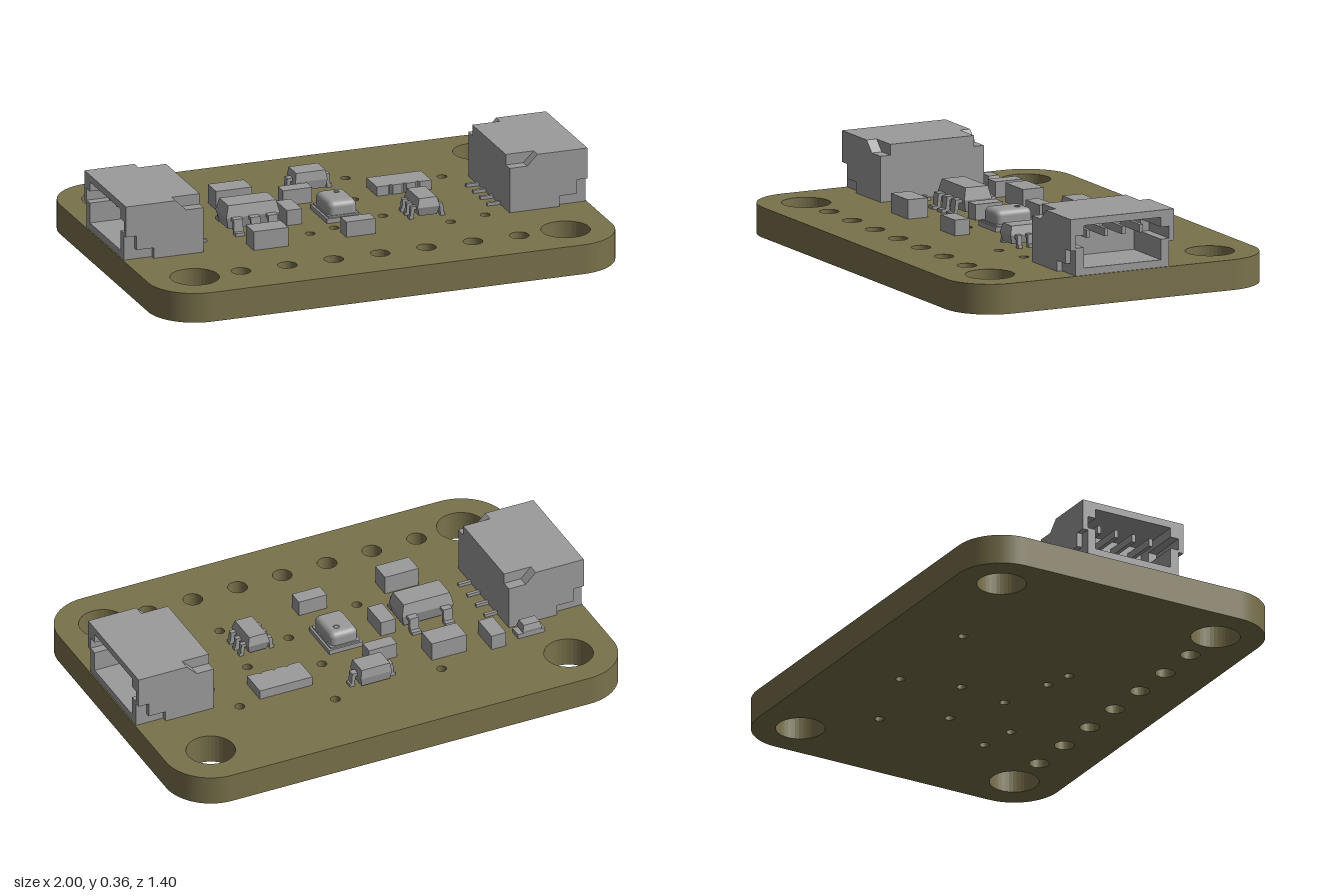
import * as THREE from 'three';
import { RoundedBoxGeometry } from 'three/addons/geometries/RoundedBoxGeometry.js';

const TOP = 0.125; // upper face of the board

export function createModel() {
  const model = new THREE.Group();
  model.name = 'sensorBoard';
  const olive = new THREE.MeshStandardMaterial({ color: 0x7a724c });
  olive.name = 'olive board';
  const grey = new THREE.MeshStandardMaterial({ color: 0x9b9b9b });
  grey.name = 'component grey';

  const add = (parent, name, geo, mat = grey) => {
    const m = new THREE.Mesh(geo, mat);
    m.name = name;
    parent.add(m);
    return m;
  };
  const group = (name) => {
    const g = new THREE.Group();
    g.name = name;
    model.add(g);
    return g;
  };
  const box = (parent, name, x0, x1, y0, y1, z0, z1) => add(parent, name,
    new THREE.BoxGeometry(x1 - x0, y1 - y0, z1 - z0)
      .translate((x0 + x1) / 2, (y0 + y1) / 2, (z0 + z1) / 2));
  const polygon = (pts) => new THREE.Shape(pts.map(([x, y]) => new THREE.Vector2(x, y)));
  // side profile in x and y, extruded from z0 to z1
  const slab = (parent, name, pts, z0, z1) => add(parent, name,
    new THREE.ExtrudeGeometry(polygon(pts), { depth: z1 - z0, bevelEnabled: false }).translate(0, 0, z0));

  // Board with rounded corners and drilled holes
  const s = new THREE.Shape();
  const r = 0.2, w = 1, d = 0.7;
  s.moveTo(w, d - r);
  s.absarc(w - r, d - r, r, 0, Math.PI / 2);
  s.absarc(-w + r, d - r, r, Math.PI / 2, Math.PI);
  s.absarc(-w + r, -d + r, r, Math.PI, Math.PI * 1.5);
  s.absarc(w - r, -d + r, r, Math.PI * 1.5, Math.PI * 2);
  const drill = (x, z, rad) => {
    const h = new THREE.Path();
    h.absarc(x, z, rad, 0, Math.PI * 2, true);
    s.holes.push(h);
  };
  for (const x of [-0.8, 0.8]) for (const z of [-0.5, 0.5]) drill(x, z, 0.1);
  for (let i = -3; i <= 3; i++) drill(i * 0.2, 0.5, 0.04);
  [[-0.29, -0.38], [0.19, -0.39], [0.56, -0.27], [0.13, -0.14], [0.41, -0.03], [0.17, 0.085],
    [-0.065, 0.15], [-0.18, 0.18], [0.56, 0.22], [0.4, 0.25]].forEach(([x, z]) => drill(x, z, 0.02));
  add(model, 'board', new THREE.ExtrudeGeometry(s, { depth: TOP, bevelEnabled: false, curveSegments: 20 })
    .rotateX(Math.PI / 2).translate(0, TOP, 0), olive);

  // Side-entry sockets, open toward the board's ends
  for (const side of [1, -1]) {
    const c = group(side > 0 ? 'leftSocket' : 'rightSocket');
    if (side < 0) c.rotation.y = Math.PI;
    box(c, 'socketTop', 0.66, 0.995, 0.33, 0.36, -0.175, 0.175);
    box(c, 'socketFloor', 0.66, 0.995, TOP, 0.155, -0.175, 0.175);
    box(c, 'socketBack', 0.66, 0.76, 0.155, 0.33, -0.175, 0.175);
    const groove = [[0.995, TOP], [0.995, 0.24], [0.82, 0.24], [0.82, 0.29], [0.995, 0.29], [0.995, 0.36]];
    const notch = [[0.78, 0.36], [0.735, 0.315], [0.66, 0.315]];
    const layers = [
      [0.175, 0.19, [[0.66, TOP], ...groove, [0.66, 0.36]]],
      [0.19, 0.212, [[0.66, TOP], ...groove, ...notch]],
      [0.212, 0.235, [[0.66, TOP], [0.875, TOP], [0.875, 0.17], [0.95, 0.17], [0.95, 0.23],
        [0.995, 0.23], [0.995, 0.36], ...notch]],
    ];
    for (const [z0, z1, pts] of layers) {
      slab(c, 'socketWall', pts, z0, z1);
      slab(c, 'socketWall', pts, -z1, -z0);
    }
    for (const z of [-0.12, -0.04, 0.04, 0.12]) {
      box(c, 'contactPin', 0.75, 0.93, 0.262, 0.295, z - 0.008, z + 0.008);
      box(c, 'solderTail', 0.605, 0.67, TOP, 0.138, z - 0.007, z + 0.007);
    }
  }

  // Plain chip parts: x0, x1, z0, z1, top
  [['capacitor', -0.595, -0.53, -0.345, -0.22, 0.19],
    ['capacitor', -0.435, -0.28, -0.31, -0.215, 0.205],
    ['resistor', -0.165, -0.04, -0.225, -0.165, 0.19],
    ['resistor', -0.235, -0.17, -0.065, 0.06, 0.19],
    ['capacitor', -0.465, -0.315, 0.2, 0.29, 0.205],
    ['resistor', -0.06, 0.065, 0.21, 0.275, 0.19],
  ].forEach(([n, x0, x1, z0, z1, y]) => box(model, n, x0, x1, TOP, y, z0, z1));

  // Resistor array with notched long edges
  const ax0 = 0.23, ax1 = 0.465, az0 = -0.26, az1 = -0.14, pitch = (ax1 - ax0) / 4;
  const edge = [[ax0, az0], [ax1, az0], [ax1, az1]];
  for (let i = 3; i >= 1; i--) {
    const x = ax0 + i * pitch;
    edge.push([x + 0.01, az1], [x, az1 - 0.01], [x - 0.01, az1]);
  }
  edge.push([ax0, az1]);
  add(model, 'resistorArray', new THREE.ExtrudeGeometry(polygon(edge), { depth: 0.04, bevelEnabled: false })
    .rotateX(Math.PI / 2).translate(0, TOP + 0.04, 0));

  // Moulded body whose top and bottom taper inward
  const moulded = (parent, x0, x1, z0, z1, y0, y1, inset) => {
    const bw = x1 - x0, bd = z1 - z0, h = y1 - y0;
    const g = new THREE.BoxGeometry(bw, h, bd, 1, 2, 1).toNonIndexed();
    const p = g.attributes.position;
    for (let i = 0; i < p.count; i++) {
      if (Math.abs(p.getY(i)) < h * 0.25) continue;
      p.setX(i, p.getX(i) * (1 - 2 * inset / bw));
      p.setZ(i, p.getZ(i) * (1 - 2 * inset / bd));
    }
    g.computeVertexNormals();
    add(parent, 'mouldedBody', g.translate((x0 + x1) / 2, (y0 + y1) / 2, (z0 + z1) / 2));
  };
  // Bent lead leaving a body at x, z in the given direction
  const lead = (parent, x, z, angle, len, width, y) => {
    const t = 0.014;
    const pts = [[-0.015, y - t], [len * 0.3, y - t], [len * 0.4, TOP], [len, TOP], [len, TOP + t],
      [len * 0.4 + t, TOP + t], [len * 0.3 + t, y], [-0.015, y]];
    const m = slab(parent, 'lead', pts, -width / 2, width / 2);
    m.position.set(x, 0, z);
    m.rotation.y = angle;
  };
  const N = Math.PI / 2, S = -Math.PI / 2; // toward -z, toward +z

  const regulator = group('regulator');
  moulded(regulator, -0.495, -0.265, -0.065, 0.06, 0.138, 0.238, 0.012);
  for (const x of [-0.455, -0.305]) lead(regulator, x, -0.063, N, 0.055, 0.04, 0.19);
  for (const x of [-0.455, -0.38, -0.305]) lead(regulator, x, 0.058, S, 0.055, 0.04, 0.19);

  const diode = group('diode');
  moulded(diode, -0.07, 0.068, -0.375, -0.275, 0.138, 0.213, 0.006);
  lead(diode, 0.065, -0.325, 0, 0.036, 0.03, 0.185);
  lead(diode, -0.067, -0.325, Math.PI, 0.036, 0.03, 0.185);

  const transistors = group('transistorPair');
  moulded(transistors, 0.282, 0.378, 0.03, 0.185, 0.138, 0.212, 0.01);
  for (const z of [0.06, 0.108, 0.156]) {
    lead(transistors, 0.375, z, 0, 0.032, 0.02, 0.178);
    lead(transistors, 0.285, z, Math.PI, 0.032, 0.02, 0.178);
  }

  // Indicator lamp: flat base, raised lens
  const lamp = group('indicatorLamp');
  box(lamp, 'lampBase', -0.78, -0.66, TOP, 0.145, -0.322, -0.268);
  moulded(lamp, -0.765, -0.68, -0.325, -0.265, 0.13, 0.18, 0.007);

  // Sensor with a rounded metal lid and a vent
  const sensor = group('sensor');
  box(sensor, 'sensorBase', -0.075, 0.075, TOP, 0.145, -0.095, 0.095);
  box(sensor, 'lidFlange', -0.066, 0.066, 0.145, 0.152, -0.087, 0.087);
  add(sensor, 'sensorLid', new RoundedBoxGeometry(0.124, 0.09, 0.165, 4, 0.025).translate(0, 0.163, 0));
  add(sensor, 'ventRim', new THREE.TorusGeometry(0.011, 0.002, 6, 20).rotateX(Math.PI / 2).translate(0.015, 0.208, -0.035));

  return model;
}
